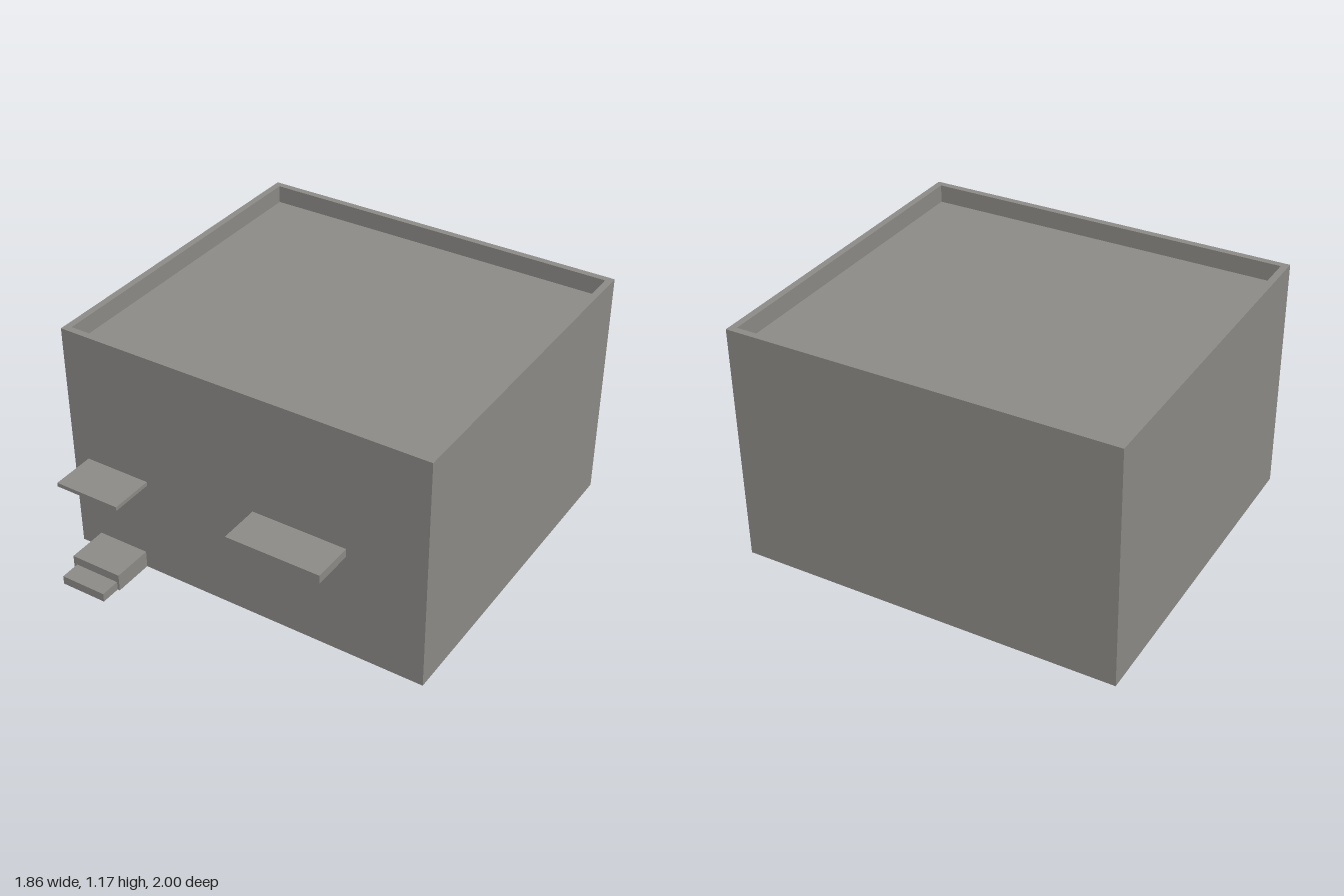
import * as THREE from 'three';

const grey = new THREE.MeshStandardMaterial({ color: 0x8e8c88, side: THREE.DoubleSide });
grey.name = 'warm grey';

// Face order of BoxGeometry
const FACES = ['right', 'left', 'top', 'bottom', 'front', 'back'];

// Thin shell box between two corners, with the named faces left open
function openBox([x0, y0, z0], [x1, y1, z1], open) {
  const g = new THREE.BoxGeometry(x1 - x0, y1 - y0, z1 - z0);
  const index = Array.from(g.index.array);
  g.setIndex(index.filter((v, i) => !open.includes(FACES[Math.floor(i / 6)])));
  g.clearGroups();
  return g.translate((x0 + x1) / 2, (y0 + y1) / 2, (z0 + z1) / 2);
}

function rect(target, x0, x1, y0, y1) {
  target.moveTo(x0, y0).lineTo(x1, y0).lineTo(x1, y1).lineTo(x0, y1).closePath();
  return target;
}

// Upright panel with a doorway-like notch cut from its bottom edge
function notchedShape(x0, x1, height, n0, n1, notchHeight) {
  const s = new THREE.Shape();
  s.moveTo(x0, 0).lineTo(n0, 0).lineTo(n0, notchHeight).lineTo(n1, notchHeight);
  s.lineTo(n1, 0).lineTo(x1, 0).lineTo(x1, height).lineTo(x0, height).closePath();
  return s;
}

export function createModel() {
  const group = new THREE.Group();
  const add = (name, geometry) => {
    const mesh = new THREE.Mesh(geometry, grey);
    mesh.name = name;
    group.add(mesh);
  };

  const W = 0.93, H = 1.175, back = -1, front = 0.695, rim = 0.033, roofY = 1.087;
  const step = { x0: -0.815, x1: -0.55, y: 0.087, z: 0.9 };
  const lowStep = { x0: -0.797, x1: -0.562, y: 0.044, z: 1 };
  const canopies = [
    { name: 'doorCanopy', x0: -0.847, x1: -0.512, y0: 0.486, y1: 0.506, z: 0.915 },
    { name: 'windowCanopy', x0: 0.066, x1: 0.54, y0: 0.538, y1: 0.58, z: 0.9 },
  ];

  // Side and back walls, open underneath
  add('walls', openBox([-W, 0, back], [W, H, front], ['top', 'bottom', 'front']));

  // Front wall, open behind the canopies and the step
  const wall = notchedShape(-W, W, H, step.x0, step.x1, step.y);
  for (const c of canopies) wall.holes.push(rect(new THREE.Path(), c.x0, c.x1, c.y0, c.y1));
  add('frontWall', new THREE.ShapeGeometry(wall).translate(0, 0, front));

  // Parapet rim and sunken roof
  const ring = rect(new THREE.Shape(), -W, W, -front, -back);
  ring.holes.push(rect(new THREE.Path(), -W + rim, W - rim, -front + rim, -back - rim));
  add('parapetRim', new THREE.ShapeGeometry(ring).rotateX(-Math.PI / 2).translate(0, H, 0));
  add('sunkenRoof', openBox([-W + rim, roofY, back + rim], [W - rim, H, front - rim], ['top']));

  // Canopies
  for (const c of canopies) {
    add(c.name, openBox([c.x0, c.y0, front], [c.x1, c.y1, c.z], ['back']));
  }

  // Entrance steps, hollow underneath
  add('upperStep', openBox([step.x0, 0, front], [step.x1, step.y, step.z], ['back', 'bottom', 'front']));
  const riser = notchedShape(step.x0, step.x1, step.y, lowStep.x0, lowStep.x1, lowStep.y);
  add('upperStepRiser', new THREE.ShapeGeometry(riser).translate(0, 0, step.z));
  add('lowerStep', openBox([lowStep.x0, 0, step.z], [lowStep.x1, lowStep.y, lowStep.z], ['back', 'bottom']));

  return group;
}
